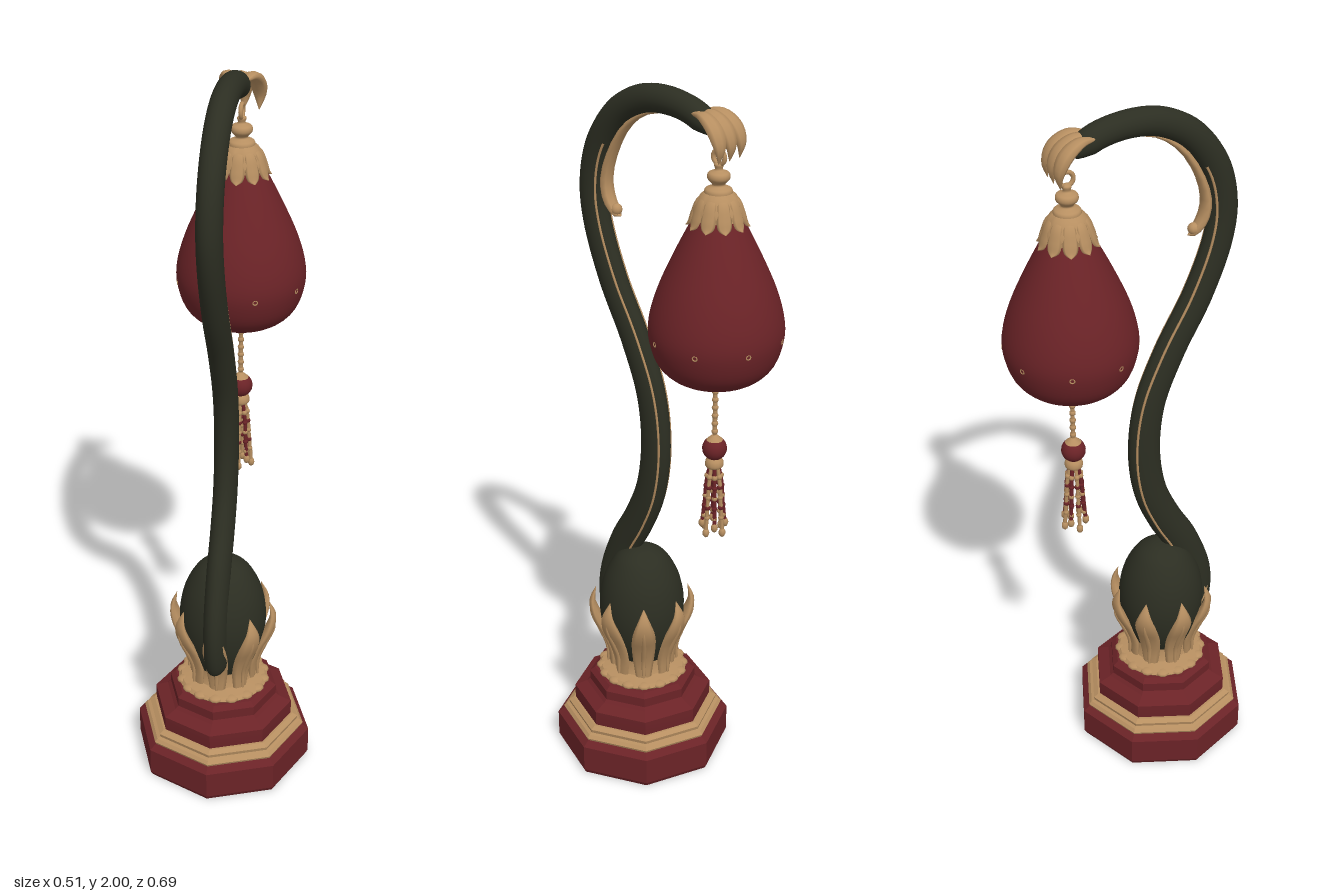
import * as THREE from 'three';
import { toCreasedNormals } from 'three/addons/utils/BufferGeometryUtils.js';

const red = new THREE.MeshStandardMaterial({ color: 0x6b2327 });
red.name = 'deep red';
const green = new THREE.MeshStandardMaterial({ color: 0x2c2e22 });
green.name = 'dark green';
const gold = new THREE.MeshStandardMaterial({ color: 0xb78f61 });
gold.name = 'old gold';

const BASE_Z = 0.093, LAMP_Z = -0.173;

function mesh(parent, name, geometry, material, x = 0, y = 0, z = 0) {
  const m = new THREE.Mesh(geometry, material);
  m.name = name;
  m.position.set(x, y, z);
  parent.add(m);
  return m;
}

function group(parent, name, z = 0, angle = 0) {
  const g = new THREE.Group();
  g.name = name;
  g.position.z = z;
  g.rotation.y = angle;
  parent.add(g);
  return g;
}

const curveOf = (zy) => new THREE.CatmullRomCurve3(zy.map(([z, y]) => new THREE.Vector3(0, y, z)), false, 'centripetal');

// Turned profile of [radius, y] pairs, listed from bottom to top
function lathe(profile, sides = 40, crease = 0.7) {
  const pts = profile.map(([r, y]) => new THREE.Vector2(r, y));
  return toCreasedNormals(new THREE.LatheGeometry(pts, sides), crease);
}

// Smooth turned profile
function smoothLathe(profile, sides = 40) {
  const spline = new THREE.SplineCurve(profile.map(([r, y]) => new THREE.Vector2(r, y)));
  return new THREE.LatheGeometry(spline.getPoints(36).map((p) => p.set(Math.max(p.x, 0), p.y)), sides);
}

// Oval section swept along a curve in the yz plane; size(t) gives half width and half depth
function sweep(curve, size, steps = 20, sides = 10) {
  const pos = [], index = [];
  for (let i = 0; i <= steps; i++) {
    const t = i / steps, p = curve.getPoint(t), d = curve.getTangent(t), [a, b] = size(t);
    for (let j = 0; j < sides; j++) {
      const u = (j / sides) * Math.PI * 2, s = Math.sin(u) * b;
      pos.push(Math.cos(u) * a, p.y - d.z * s, p.z + d.y * s);
      if (i < steps) {
        const k = (j + 1) % sides, q = i * sides, n = q + sides;
        index.push(q + j, n + j, q + k, q + k, n + j, n + k);
      }
    }
  }
  const g = new THREE.BufferGeometry();
  g.setAttribute('position', new THREE.Float32BufferAttribute(pos, 3));
  g.setIndex(index);
  g.computeVertexNormals();
  return g;
}

// Pointed leaf, widest at the given fraction of its length
function leaf(zy, width, depth, widest = 0.55, root = 0.5) {
  return sweep(curveOf(zy), (t) => {
    const k = t < widest
      ? root + (1 - root) * Math.sin((t / widest) * Math.PI / 2)
      : Math.cos(((t - widest) / (1 - widest)) * Math.PI / 2);
    return [width * k + 0.0005, depth * k + 0.0005];
  }, 16, 8);
}

function ring(parent, name, count, make, z, start = 0) {
  for (let i = 0; i < count; i++) make(group(parent, name, z, start + (i / count) * Math.PI * 2), i);
}

export function createModel() {
  const model = new THREE.Group();
  model.name = 'tableLamp';

  // Stepped eight-sided base
  const base = group(model, 'base', BASE_Z);
  mesh(base, 'lowerPlinth', lathe([[0, 0], [0.247, 0], [0.253, 0.012], [0.253, 0.092], [0.232, 0.108], [0, 0.108]], 8, 0.2), red);
  mesh(base, 'plinthBand', lathe([[0.2, 0.104], [0.232, 0.104], [0.236, 0.114], [0.228, 0.123], [0.218, 0.126], [0.22, 0.136], [0.206, 0.144], [0.15, 0.144]], 8, 0.2), gold);
  mesh(base, 'upperPlinth', lathe([[0.198, 0.135], [0.2, 0.15], [0.2, 0.188], [0.165, 0.202], [0.155, 0.21], [0.155, 0.238], [0.14, 0.25], [0, 0.25]], 8, 0.2), red);

  // Flower cup: scalloped plate, core and eight horned petals
  mesh(base, 'cupPlate', lathe([[0.1, 0.246], [0.122, 0.248], [0.128, 0.256], [0.12, 0.266], [0.085, 0.272], [0.075, 0.3], [0.085, 0.35], [0.09, 0.36], [0, 0.36]]), gold);
  ring(base, 'cupScallop', 16, (g) => {
    const s = mesh(g, 'scallop', new THREE.SphereGeometry(0.022, 10, 6), gold, 0, 0.258, 0.113);
    s.scale.y = 0.45;
  }, 0);
  ring(base, 'cupPetal', 8, (g) => {
    mesh(g, 'petal', leaf([[0.085, 0.26], [0.088, 0.32], [0.105, 0.38], [0.133, 0.44], [0.143, 0.485], [0.132, 0.53]], 0.034, 0.014, 0.5, 0.6), gold);
    mesh(g, 'petalRib', leaf([[0.1, 0.275], [0.102, 0.33], [0.12, 0.38], [0.146, 0.44], [0.15, 0.48]], 0.007, 0.006, 0.4), gold);
  }, 0);
  mesh(base, 'egg', smoothLathe([[0, 0.27], [0.06, 0.29], [0.105, 0.37], [0.122, 0.465], [0.11, 0.555], [0.075, 0.625], [0.035, 0.654], [0, 0.66]]), green);

  // Curved stem
  const stemCurve = curveOf([[0.17, 0.33], [0.2, 0.42], [0.2, 0.52], [0.155, 0.65], [0.1, 0.75], [0.055, 0.86], [0.036, 1.0], [0.052, 1.15],
    [0.11, 1.3], [0.188, 1.45], [0.242, 1.6], [0.253, 1.7], [0.228, 1.81], [0.16, 1.905], [0.08, 1.952], [0, 1.964], [-0.09, 1.95], [-0.165, 1.91]]);
  const stemSize = (t) => {
    const end = Math.min(1, Math.sqrt((1 - t) / 0.04) + 0.02, t / 0.03 + 0.02);
    return [0.033 * end, (0.053 - 0.02 * t) * end];
  };
  mesh(model, 'stem', sweep(stemCurve, stemSize, 110, 20), green);

  // Thin gold seams along both flanks of the stem
  for (const side of [-1, 1]) {
    const pts = [];
    for (let i = 0; i <= 40; i++) {
      const t = 0.1 + 0.62 * (i / 40), p = stemCurve.getPoint(t), d = stemCurve.getTangent(t), [a, b] = stemSize(t);
      pts.push(new THREE.Vector3(side * a * 0.72, p.y + d.z * b * 0.69, p.z - d.y * b * 0.69));
    }
    mesh(model, 'stemSeam', new THREE.TubeGeometry(new THREE.CatmullRomCurve3(pts), 80, 0.0035, 5), gold);
  }

  // Leaf lining the inside of the crook, with a curled tip
  mesh(model, 'crookLeaf', leaf([[-0.01, 1.936], [0.07, 1.918], [0.135, 1.87], [0.185, 1.79], [0.205, 1.72], [0.197, 1.67], [0.17, 1.635], [0.155, 1.63]], 0.022, 0.013, 0.7, 0.2), gold);
  mesh(model, 'crookLeafCurl', new THREE.SphereGeometry(0.016, 12, 8), gold, 0, 1.645, 0.172);

  // Drooping leaves closing the stem end
  for (const side of [-1, 0, 1]) {
    const g = group(model, 'stemEndLeaf', -0.11, -side * 0.16);
    g.position.x = side * 0.024;
    mesh(g, 'leaf', leaf([[0.0, 1.955], [-0.04, 1.955], [-0.08, 1.93], [-0.1, 1.89], [-0.096, 1.85]], 0.024, 0.014, 0.5, 0.25), gold);
  }

  // Hanging lantern
  const lantern = group(model, 'lantern', LAMP_Z);
  mesh(lantern, 'hangingLoop', new THREE.TorusGeometry(0.018, 0.006, 8, 20), gold, 0, 1.855, 0).rotation.y = Math.PI / 2;
  mesh(lantern, 'finial', smoothLathe([[0.035, 1.755], [0.034, 1.775], [0.016, 1.786], [0.028, 1.802], [0.026, 1.816], [0.01, 1.824], [0.012, 1.838], [0, 1.845]], 24), gold);
  mesh(lantern, 'shade', smoothLathe([[0, 1.268], [0.09, 1.272], [0.145, 1.31], [0.17, 1.37], [0.173, 1.43], [0.152, 1.51], [0.113, 1.6], [0.068, 1.69], [0.035, 1.75], [0, 1.76]], 48), red);
  mesh(lantern, 'capCollar', lathe([[0.066, 1.705], [0.062, 1.73], [0.045, 1.76], [0.03, 1.772], [0, 1.774]], 30), gold);
  ring(lantern, 'capPetal', 10, (g) => {
    mesh(g, 'petal', leaf([[0.03, 1.766], [0.05, 1.745], [0.062, 1.712], [0.07, 1.69], [0.08, 1.682]], 0.019, 0.006, 0.55, 0.5), gold);
  }, 0);
  ring(lantern, 'shadeStud', 8, (g) => {
    mesh(g, 'stud', new THREE.TorusGeometry(0.006, 0.002, 6, 12), gold, 0, 1.395, 0.173);
  }, 0, Math.PI / 8);
  mesh(lantern, 'lowerCap', lathe([[0, 1.236], [0.018, 1.237], [0.03, 1.244], [0.034, 1.252], [0.052, 1.258], [0.058, 1.268], [0.052, 1.28], [0, 1.28]], 30), gold);

  // Cord, bead and tassel
  mesh(lantern, 'cord', new THREE.CylinderGeometry(0.006, 0.006, 0.16, 8), gold, 0, 1.165, 0);
  for (let i = 0; i < 6; i++) mesh(lantern, 'cordKnot', new THREE.SphereGeometry(0.009, 8, 6), gold, 0, 1.115 + i * 0.023, 0);
  mesh(lantern, 'beadCap', new THREE.ConeGeometry(0.022, 0.02, 16), gold, 0, 1.101, 0);
  mesh(lantern, 'bead', new THREE.SphereGeometry(0.033, 20, 14), red, 0, 1.066, 0);
  mesh(lantern, 'tasselHead', smoothLathe([[0, 1.005], [0.022, 1.012], [0.024, 1.028], [0.014, 1.042], [0, 1.045]], 16), gold);
  ring(lantern, 'tasselStrand', 8, (g, i) => {
    const bottom = i % 2 ? 0.845 : 0.825;
    mesh(g, 'strand', sweep(curveOf([[0.01, 1.02], [0.02, 0.97], [0.025, 0.9], [0.031, bottom]]), () => [0.0055, 0.0055], 10, 6), i % 2 ? red : gold);
    for (let k = 0; k < 5; k++) mesh(g, 'strandBead', new THREE.SphereGeometry(0.008, 8, 6), k % 2 ? red : gold, 0, 0.985 - k * 0.03, 0.0185 + k * 0.002);
    const drop = mesh(g, 'strandDrop', new THREE.SphereGeometry(0.0095, 8, 8), gold, 0, bottom - 0.004, 0.031);
    drop.scale.y = 1.4;
  }, 0);

  return model;
}
